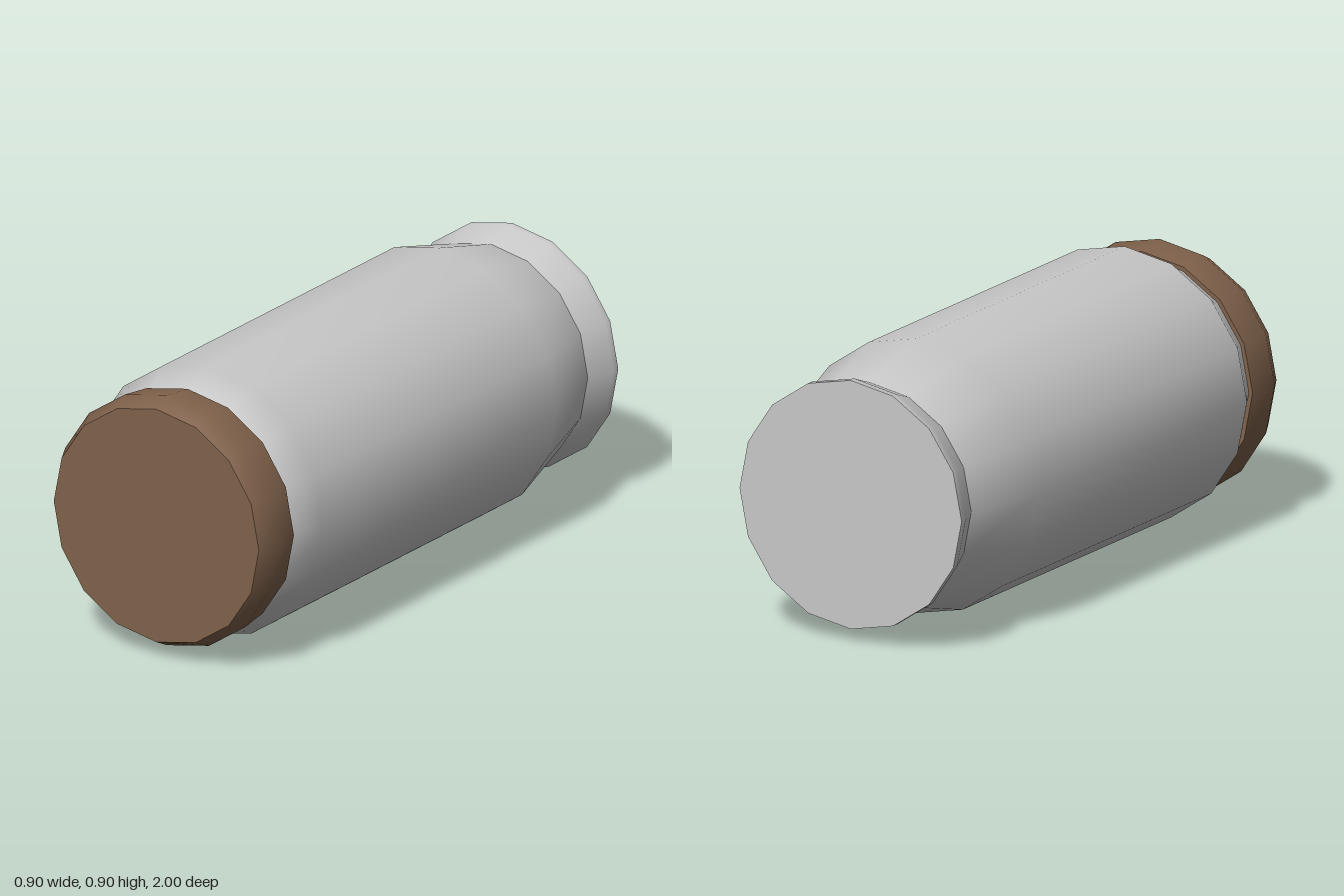
import * as THREE from 'three';

const SIDES = 16;
const CENTRE_Y = 0.453;

// Turns [radius, z] profiles around the z axis; each section keeps a sharp edge to the next.
function turned(name, material, sections) {
  const group = new THREE.Group();
  group.name = name;
  for (const [part, profile] of Object.entries(sections)) {
    const points = profile.map(([r, z]) => new THREE.Vector2(r, z));
    const geometry = new THREE.LatheGeometry(points, SIDES);
    geometry.rotateX(Math.PI / 2);
    const mesh = new THREE.Mesh(geometry, material);
    mesh.name = part;
    group.add(mesh);
  }
  group.position.y = CENTRE_Y;
  return group;
}

export function createModel() {
  const grey = new THREE.MeshStandardMaterial({ color: 0xc8c8c8 });
  grey.name = 'light grey';
  const brown = new THREE.MeshStandardMaterial({ color: 0x80624b });
  brown.name = 'brown';

  const model = new THREE.Group();
  model.name = 'jar';

  // Jar lying on its side: flared base, tapered wall, shoulder and neck
  model.add(turned('jarBody', grey, {
    basePlate: [[0, -1], [0.41, -1]],
    baseFlare: [[0.41, -1], [0.41, -0.975], [0.375, -0.88]],
    wall: [[0.375, -0.88], [0.452, -0.59], [0.452, 0.72], [0.397, 0.81], [0.397, 0.84]],
  }));

  // Lid closing the front end
  model.add(turned('lid', brown, {
    lidUnderside: [[0.38, 0.825], [0.411, 0.825]],
    lidSide: [[0.411, 0.825], [0.425, 0.94], [0.396, 1]],
    lidTop: [[0.396, 1], [0, 1]],
  }));

  return model;
}
